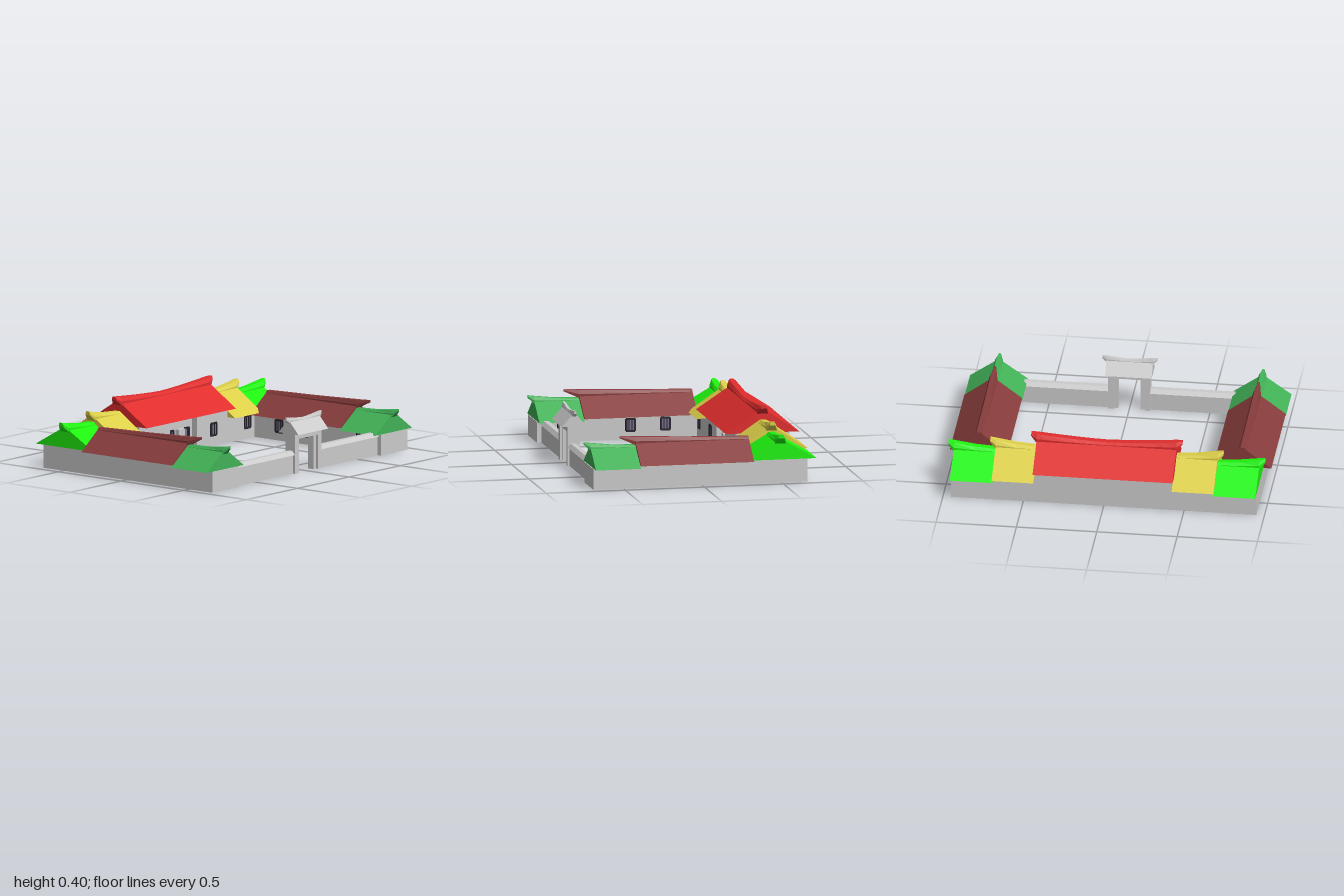
import * as THREE from 'three';

const COL = {
  red: 0xe02d2d, yellow: 0xdccf48, green: 0x1ff40f,
  brown: 0x883c3c, leaf: 0x42b257, grey: 0xcccccc, frame: 0x29242e, pane: 0x77708c,
};
const mats = {};
for (const k in COL) mats[k] = new THREE.MeshStandardMaterial({ color: COL[k] });

function add(parent, name, geo, mat) {
  const m = new THREE.Mesh(geo, mats[mat]);
  m.name = name;
  parent.add(m);
  return m;
}

// box given by its min and max corners
function box(parent, name, mat, x1, x2, y1, y2, z1, z2) {
  const m = add(parent, name, new THREE.BoxGeometry(x2 - x1, y2 - y1, z2 - z1), mat);
  m.position.set((x1 + x2) / 2, (y1 + y2) / 2, (z1 + z2) / 2);
  return m;
}

// convex [z, y] sections joined along x, flat faced with closed ends
function loft(stations) {
  const p = [];
  const n = stations[0].pts.length;
  const v = (s, i) => [s.x, s.pts[i % n][1], s.pts[i % n][0]];
  for (let k = 0; k + 1 < stations.length; k++) {
    const a = stations[k], b = stations[k + 1];
    for (let i = 0; i < n; i++) {
      p.push(...v(a, i), ...v(a, i + 1), ...v(b, i + 1), ...v(a, i), ...v(b, i + 1), ...v(b, i));
    }
  }
  const first = stations[0], last = stations[stations.length - 1];
  for (let i = 1; i + 1 < n; i++) {
    p.push(...v(last, 0), ...v(last, i), ...v(last, i + 1));
    p.push(...v(first, 0), ...v(first, i + 1), ...v(first, i));
  }
  const g = new THREE.BufferGeometry();
  g.setAttribute('position', new THREE.Float32BufferAttribute(p, 3));
  g.computeVertexNormals();
  return g;
}

// gable roof along x: half depth d, eave height, top height, half width w of the top
function gable(parent, name, mat, x1, x2, d, eave, top, w) {
  const pts = [[d, eave], [-d, eave], [-w, top], [w, top]];
  return add(parent, name, loft([{ x: x1, pts }, { x: x2, pts }]), mat);
}

// ridge beam along x; each station is [x, bottom, top, half width]
function ridge(parent, name, mat, list) {
  const stations = list.map(([x, b, t, w]) => {
    const m = b + (t - b) * 0.5;
    return { x, pts: [[w, b], [-w, b], [-w, m], [-w * 0.55, t], [w * 0.55, t], [w, m]] };
  });
  return add(parent, name, loft(stations), mat);
}

// ridge with both ends swept up
function curvedRidge(parent, name, mat, half, tip, base, mid, end, w) {
  const list = [[-tip, end - 0.02, end, w * 0.5]];
  for (let i = -5; i <= 5; i++) {
    const u = i / 5;
    list.push([u * half, base - 0.01, mid + (end - mid) * 0.85 * Math.pow(Math.abs(u), 1.4), w]);
  }
  list.push([tip, end - 0.02, end, w * 0.5]);
  return ridge(parent, name, mat, list);
}

// framed window facing +z
function windowUnit(parent, x, y, z, w, h, turn = 0) {
  const g = new THREE.Group();
  g.name = 'window';
  box(g, 'windowPane', 'pane', -w / 2, w / 2, -h / 2, h / 2, -0.004, 0.002);
  for (const s of [-1, 1]) {
    box(g, 'windowJamb', 'frame', s * w / 2 - 0.006, s * w / 2 + 0.006, -h / 2, h / 2, -0.004, 0.006);
    box(g, 'windowRail', 'frame', -w / 2, w / 2, s * h / 2 - 0.006, s * h / 2 + 0.006, -0.004, 0.006);
  }
  for (const t of [-0.17, 0.17]) {
    box(g, 'windowBar', 'frame', t * w - 0.003, t * w + 0.003, -h / 2, h / 2, -0.004, 0.004);
  }
  g.position.set(x, y, z);
  g.rotation.y = turn;
  parent.add(g);
}

function backHall() {
  const hall = new THREE.Group();
  hall.name = 'backHall';
  // walls, with a recessed entrance bay in the middle
  box(hall, 'entranceWall', 'grey', -0.13, 0.13, 0, 0.22, -0.66, -0.36);
  for (const s of [-1, 1]) {
    const wall = (name, a, b, h) =>
      box(hall, name, 'grey', Math.min(s * a, s * b), Math.max(s * a, s * b), 0, h, -0.66, -0.32);
    wall('mainWall', 0.13, 0.435, 0.22);
    wall('sideWall', 0.435, 0.69, 0.16);
    wall('endWall', 0.69, 0.95, 0.145);
    for (const x of [0.29, 0.62]) windowUnit(hall, s * x, 0.105, -0.32, 0.055, 0.075);
    windowUnit(hall, s * 0.075, 0.105, -0.36, 0.045, 0.07);
  }
  box(hall, 'door', 'grey', -0.03, 0.03, 0, 0.145, -0.36, -0.33);
  box(hall, 'doorStep', 'grey', -0.04, 0.04, 0, 0.015, -0.36, -0.29);

  // roofs stepping down from the middle
  const roofs = new THREE.Group();
  roofs.name = 'hallRoofs';
  roofs.position.z = -0.49;
  hall.add(roofs);
  gable(roofs, 'mainRoof', 'red', -0.435, 0.435, 0.232, 0.22, 0.352, 0.03);
  curvedRidge(roofs, 'mainRidge', 'red', 0.435, 0.47, 0.35, 0.365, 0.397, 0.035);
  for (const s of [1, -1]) {
    const side = new THREE.Group();
    side.name = s > 0 ? 'leftRoofs' : 'rightRoofs';
    side.rotation.y = s > 0 ? 0 : Math.PI;
    roofs.add(side);
    gable(side, 'middleRoof', 'yellow', 0.43, 0.69, 0.231, 0.16, 0.295, 0.03);
    ridge(side, 'middleRidge', 'yellow',
      [[0.43, 0.28, 0.303, 0.035], [0.56, 0.28, 0.312, 0.035], [0.69, 0.28, 0.332, 0.035], [0.725, 0.318, 0.342, 0.018]]);
    gable(side, 'endRoof', 'green', 0.685, 0.95, 0.23, 0.145, 0.26, 0.03);
    ridge(side, 'endRidge', 'green',
      [[0.685, 0.245, 0.272, 0.035], [0.82, 0.245, 0.28, 0.035], [0.95, 0.245, 0.298, 0.035], [0.985, 0.283, 0.307, 0.018]]);
  }
  return hall;
}

function wing(s) {
  const g = new THREE.Group();
  g.name = s > 0 ? 'leftWing' : 'rightWing';
  const xs = [s * 0.69, s * 0.95].sort((a, b) => a - b);
  box(g, 'wingWall', 'grey', xs[0], xs[1], 0, 0.14, -0.33, 0.4);
  box(g, 'wingFrontWall', 'grey', xs[0], xs[1], 0, 0.13, 0.4, 0.69);
  for (const z of [0.53, 0.1, -0.12]) windowUnit(g, s * 0.69, 0.09, z, 0.055, 0.075, -s * Math.PI / 2);
  // roofs run front to back
  const roofs = new THREE.Group();
  roofs.name = 'wingRoofs';
  roofs.position.x = s * 0.82;
  roofs.rotation.y = -Math.PI / 2;
  g.add(roofs);
  gable(roofs, 'wingRoof', 'brown', -0.315, 0.4, 0.18, 0.145, 0.265, 0.02);
  ridge(roofs, 'wingRidge', 'brown',
    [[-0.315, 0.25, 0.276, 0.025], [0.05, 0.25, 0.286, 0.025], [0.4, 0.25, 0.3, 0.025], [0.495, 0.293, 0.307, 0.007]]);
  gable(roofs, 'frontRoof', 'leaf', 0.4, 0.685, 0.18, 0.13, 0.243, 0.02);
  ridge(roofs, 'frontRidge', 'leaf',
    [[0.4, 0.23, 0.25, 0.025], [0.55, 0.23, 0.255, 0.025], [0.685, 0.225, 0.27, 0.025], [0.722, 0.262, 0.277, 0.008]]);
  return g;
}

function gateAndFence() {
  const g = new THREE.Group();
  g.name = 'gateAndFence';
  for (const s of [-1, 1]) {
    const a = s > 0 ? 0.12 : -0.69, b = s > 0 ? 0.69 : -0.12;
    box(g, 'fenceWall', 'grey', a, b, 0, 0.12, 0.618, 0.662);
    const cap = gable(g, 'fenceCap', 'grey', a, b, 0.036, 0.118, 0.142, 0.015);
    cap.position.z = 0.64;
    // pillar with a thicker outer post
    const post = (x1, x2, z1, z2) =>
      box(g, 'gatePillar', 'grey', Math.min(s * x1, s * x2), Math.max(s * x1, s * x2), 0, 0.22, z1, z2);
    post(0.095, 0.13, 0.6, 0.675);
    post(0.07, 0.095, 0.615, 0.66);
  }
  box(g, 'gateLintel', 'grey', -0.13, 0.13, 0.215, 0.255, 0.6, 0.675);
  const roof = new THREE.Group();
  roof.name = 'gateRoof';
  roof.position.z = 0.636;
  g.add(roof);
  gable(roof, 'gateRoofSlopes', 'grey', -0.145, 0.145, 0.08, 0.25, 0.325, 0.012);
  curvedRidge(roof, 'gateRidge', 'grey', 0.145, 0.17, 0.325, 0.335, 0.353, 0.014);
  return g;
}

export function createModel() {
  const model = new THREE.Group();
  model.name = 'courtyardHouse';
  model.add(backHall(), wing(1), wing(-1), gateAndFence());
  return model;
}
